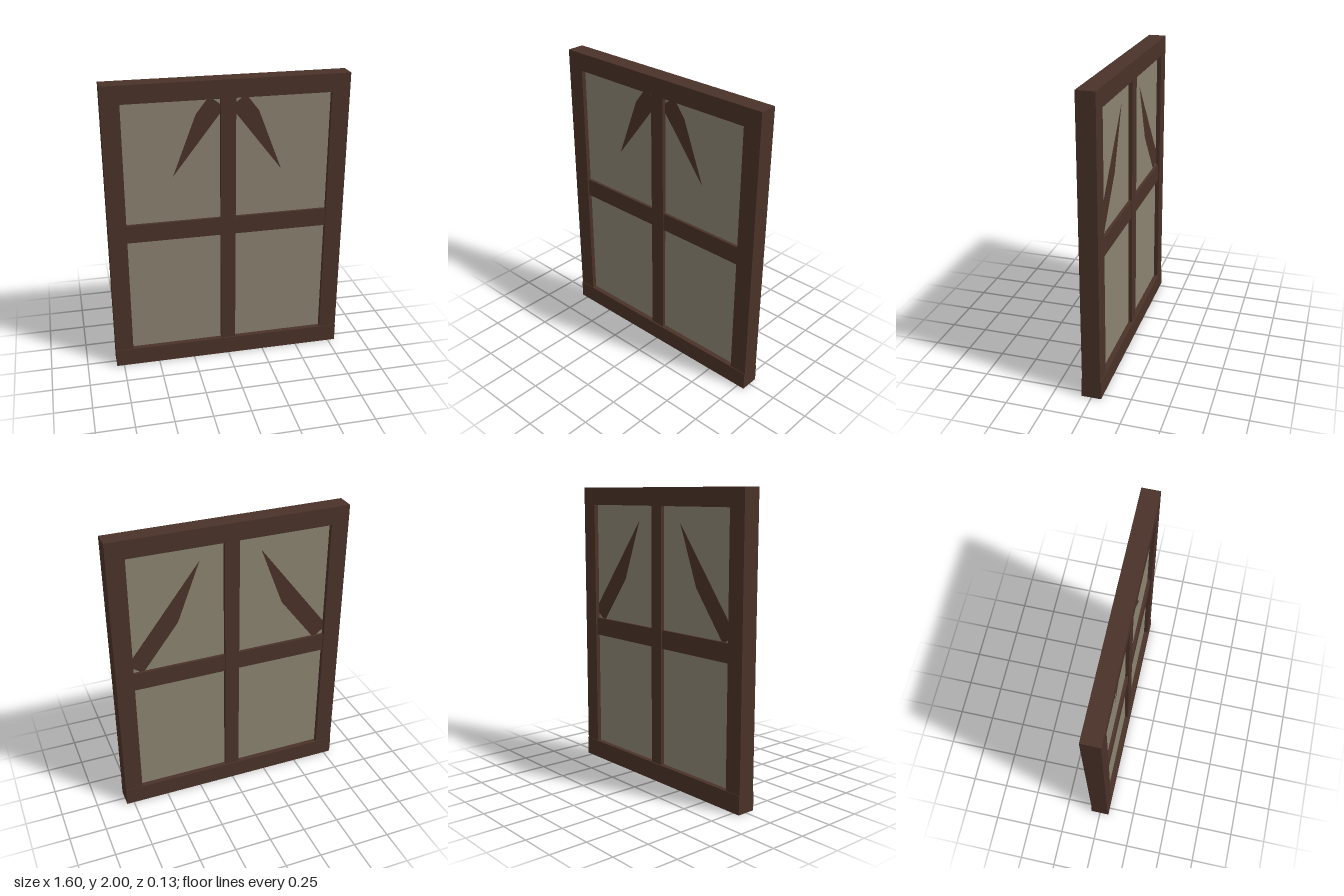
import * as THREE from 'three';

export function createModel() {
  const group = new THREE.Group();
  const wood = new THREE.MeshStandardMaterial({ color: 0x4a3228 });
  wood.name = 'darkWood';
  const plaster = new THREE.MeshStandardMaterial({ color: 0x8b8370 });
  plaster.name = 'plaster';

  const addBox = (name, material, w, h, d, x, y, z = 0) => {
    const mesh = new THREE.Mesh(new THREE.BoxGeometry(w, h, d), material);
    mesh.name = name;
    mesh.position.set(x, y, z);
    group.add(mesh);
    return mesh;
  };

  // Infill panel behind the timbers
  addBox('infillPanel', plaster, 1.4, 1.8, 0.06, 0, 1);

  // Outer frame
  addBox('sill', wood, 1.6, 0.125, 0.13, 0, 0.0625);
  addBox('topBeam', wood, 1.6, 0.12, 0.12, 0, 1.94);

  // Inner timbers: the stud stands slightly proud of the cross rail
  addBox('middleStud', wood, 0.1, 1.76, 0.11, 0, 1);
  addBox('middleRail', wood, 1.36, 0.125, 0.1, 0, 1);

  for (const side of [1, -1]) {
    const label = side > 0 ? 'left' : 'right';
    addBox(label + 'Post', wood, 0.12, 1.755, 0.12, side * 0.74, 1.0025);

    // Diagonal brace set into the panel, leaning a hair so its upper end
    // shows at the front and its lower end at the back
    const brace = addBox(label + 'Brace', wood, 0.97, 0.125, 0.06, side * 0.365, 1.47, -0.0008);
    brace.rotation.set(-0.02, side * 0.006, side * -0.915, 'ZXY');
  }

  return group;
}
